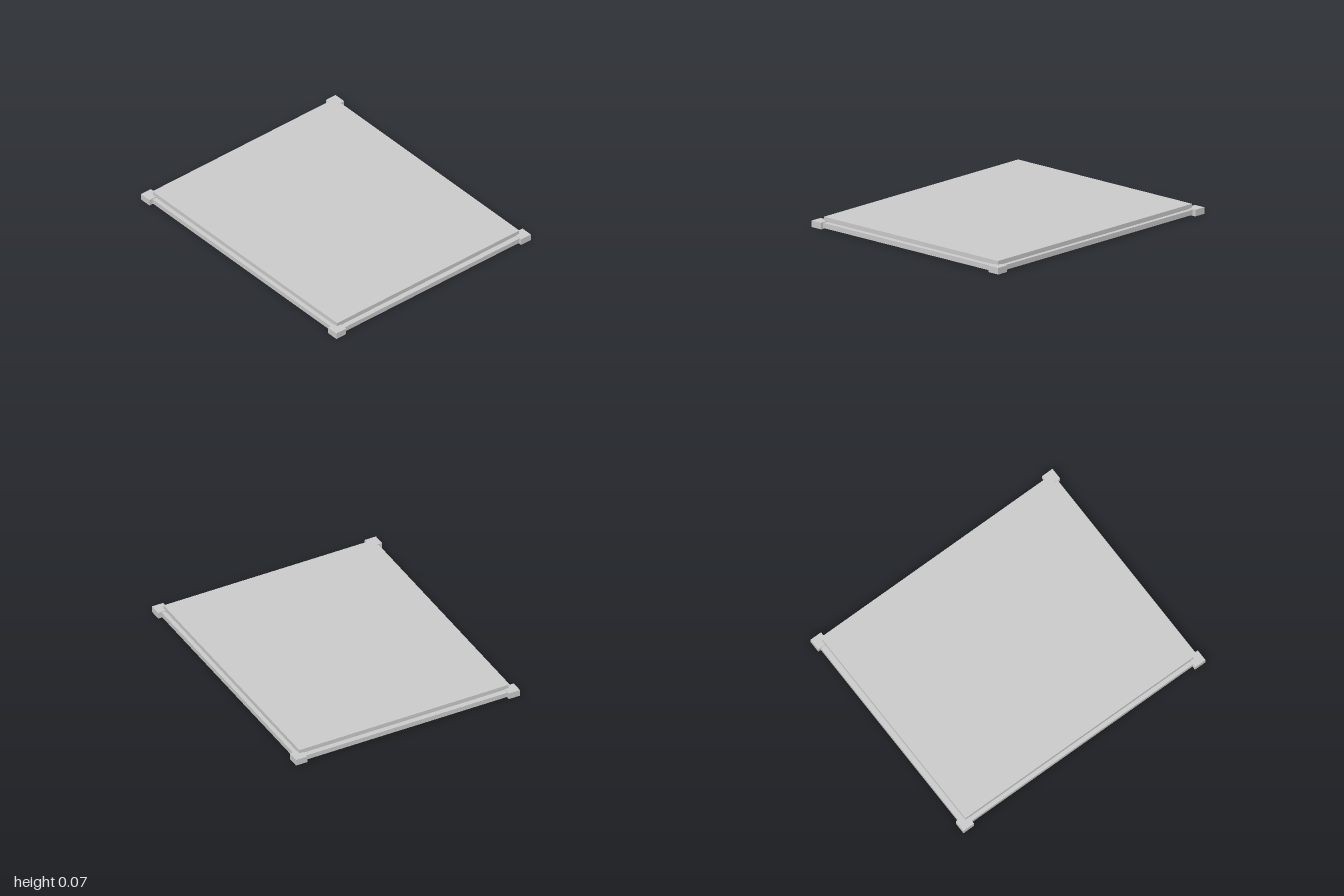
import * as THREE from 'three';

export function createModel() {
  const model = new THREE.Group();
  const material = new THREE.MeshStandardMaterial({ color: 0xcccccc, flatShading: true });

  // Box given by its minimum and maximum corners
  function addBox(name, [x0, y0, z0], [x1, y1, z1]) {
    const mesh = new THREE.Mesh(new THREE.BoxGeometry(x1 - x0, y1 - y0, z1 - z0), material);
    mesh.position.set((x0 + x1) / 2, (y0 + y1) / 2, (z0 + z1) / 2);
    mesh.name = name;
    model.add(mesh);
    return mesh;
  }

  // Raised slab in the middle
  addBox('panel', [-0.942, 0.01, -0.785], [0.942, 0.07, 0.785]);

  // Lower rails around the slab, ending inside the corner blocks
  for (const s of [-1, 1]) {
    const end = s > 0 ? 'front' : 'back';
    const side = s > 0 ? 'left' : 'right';
    addBox(end + 'Rail', [-0.942, 0.006, -0.015], [0.942, 0.04, 0.015]).position.z = s * 0.8;
    addBox(side + 'Rail', [-0.019, 0.006, -0.785], [0.019, 0.04, 0.785]).position.x = s * 0.961;

    // Corner blocks, standing slightly proud of the rails
    for (const t of [-1, 1]) {
      const corner = addBox(end + (t > 0 ? 'Left' : 'Right') + 'Corner',
        [-0.0435, 0, -0.0425], [0.0435, 0.045, 0.0425]);
      corner.position.x = t * 0.9565;
      corner.position.z = s * 0.7985;
    }
  }
  return model;
}
